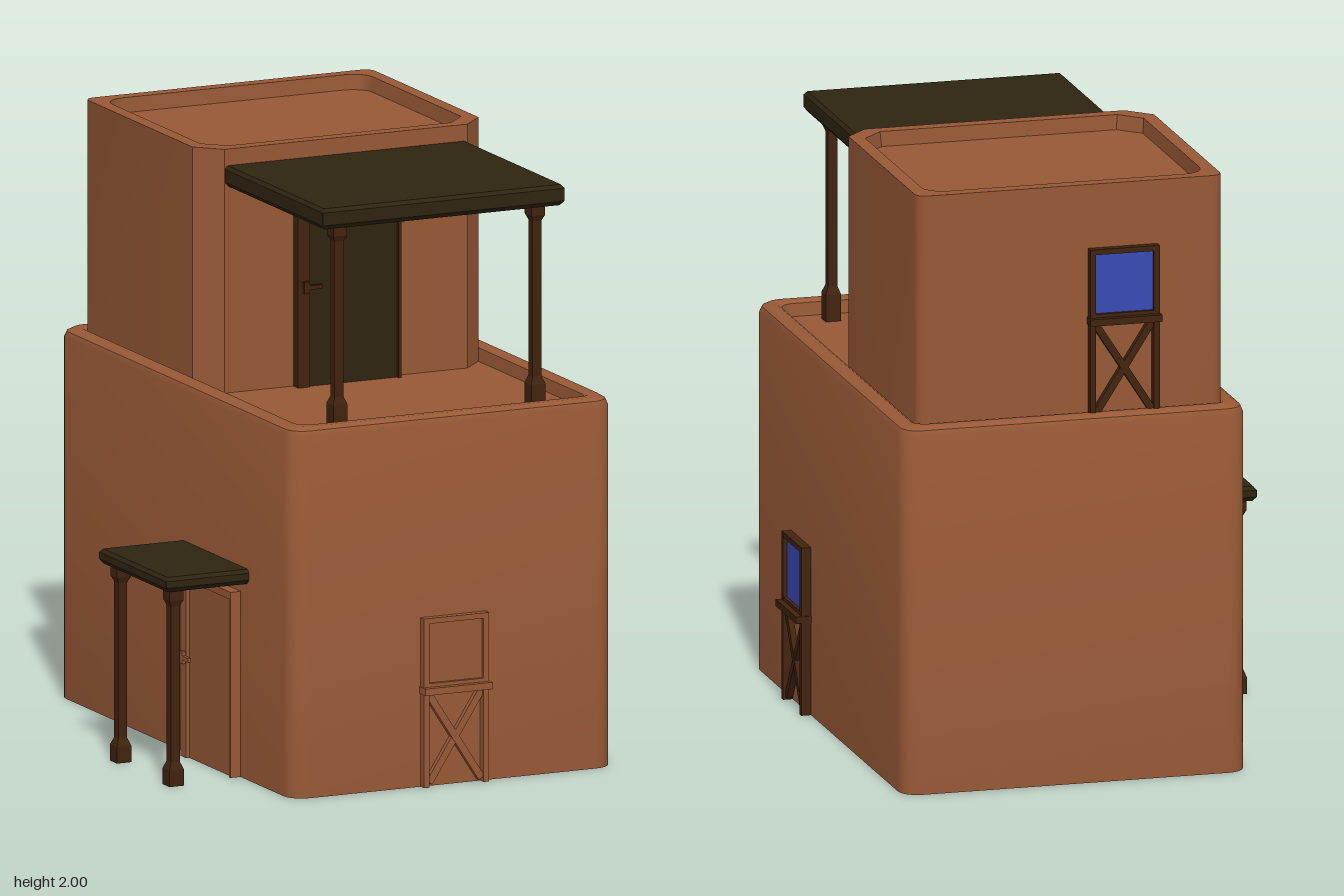
import * as THREE from 'three';
import { toCreasedNormals } from 'three/addons/utils/BufferGeometryUtils.js';

const mat = (name, color) => new THREE.MeshStandardMaterial({ name, color });

// Closed loop of a rectangle with cut or rounded corners, anticlockwise from above
function outline([x0, x1, z0, z1], inset, rBack, rFront, segBack, segFront) {
  const pts = [];
  const corners = [[1, -1], [-1, -1], [-1, 1], [1, 1]];
  corners.forEach(([sx, sz], k) => {
    const r = sz < 0 ? rBack : rFront;
    const seg = sz < 0 ? segBack : segFront;
    const cx = sx > 0 ? x1 - inset - r : x0 + inset + r;
    const cz = sz > 0 ? z1 - inset - r : z0 + inset + r;
    for (let i = 0; i <= seg; i++) {
      const a = (k + i / seg) * Math.PI / 2;
      pts.push([cx + r * Math.cos(a), cz - r * Math.sin(a)]);
    }
  });
  return pts;
}

// Skin stacked outlines, rings = [inset, y, back radius, front radius], and cap both ends
function loft(rect, rings, segBack, segFront, crease = 0.6) {
  const pos = [], idx = [];
  let n = 0;
  for (const [inset, y, rb, rf] of rings) {
    const loop = outline(rect, inset, rb, rf, segBack, segFront);
    n = loop.length;
    loop.forEach(([x, z]) => pos.push(x, y, z));
  }
  const cx = (rect[0] + rect[1]) / 2, cz = (rect[2] + rect[3]) / 2;
  const last = rings.length - 1, bottom = n * rings.length, top = bottom + 1;
  pos.push(cx, rings[0][1], cz, cx, rings[last][1], cz);
  for (let j = 0; j < n; j++) {
    const k = (j + 1) % n;
    for (let r = 0; r < last; r++) {
      const a = r * n, b = a + n;
      idx.push(a + j, a + k, b + k, a + j, b + k, b + j);
    }
    idx.push(bottom, k, j, top, last * n + j, last * n + k);
  }
  const g = new THREE.BufferGeometry();
  g.setAttribute('position', new THREE.Float32BufferAttribute(pos, 3));
  g.setIndex(idx);
  return toCreasedNormals(g, crease);
}

function add(parent, name, geometry, material, x = 0, y = 0, z = 0) {
  const m = new THREE.Mesh(geometry, material);
  m.name = name;
  m.position.set(x, y, z);
  parent.add(m);
  return m;
}

// Box given by its limits
function box(parent, name, material, x0, x1, y0, y1, z0, z1) {
  return add(parent, name, new THREE.BoxGeometry(x1 - x0, y1 - y0, z1 - z0), material,
    (x0 + x1) / 2, (y0 + y1) / 2, (z0 + z1) / 2);
}

// Square post with a thick foot and head
function post(parent, name, material, x, y, z, h, foot) {
  const k = Math.SQRT2;
  const profile = [[0, 0], [0.026, 0], [0.026, foot], [0.016, foot + 0.025],
    [0.016, h - 0.065], [0.025, h - 0.045], [0.025, h], [0, h]]
    .map(([r, py]) => new THREE.Vector2(r * k, py));
  const g = new THREE.LatheGeometry(profile, 4).rotateY(Math.PI / 4);
  add(parent, name, toCreasedNormals(g, 0.2), material, x, y, z);
}

// Slab roof with bevelled edges
function canopy(parent, name, material, rect, y0, y1) {
  const r = 0.001;
  add(parent, name, loft(rect, [[0.012, y0, r, r], [0, y0 + 0.015, r, r],
    [0, y1 - 0.012, r, r], [0.01, y1, r, r]], 1, 1, 0.2), material);
}

// Door facing +z, standing on y = 0 against a wall at z = 0
function door(name, frame, panel) {
  const g = new THREE.Group();
  g.name = name;
  box(g, 'doorPanel', panel, -0.15, 0.178, 0, 0.6, -0.01, 0.025);
  box(g, 'doorJambLeft', frame, -0.187, -0.145, 0, 0.62, -0.01, 0.037);
  box(g, 'doorJambRight', frame, 0.176, 0.187, 0, 0.62, -0.01, 0.037);
  box(g, 'doorLintel', frame, -0.187, 0.187, 0.595, 0.62, -0.01, 0.036);
  box(g, 'doorHandlePlate', frame, -0.17, -0.15, 0.315, 0.355, 0.03, 0.05);
  box(g, 'doorHandle', frame, -0.17, -0.105, 0.328, 0.342, 0.038, 0.05);
  return g;
}

// Window on a cross-braced stand, facing +z
function windowUnit(name, frame, glass) {
  const g = new THREE.Group();
  g.name = name;
  const w = 0.118, bar = 0.02;
  for (const s of [-1, 1]) {
    const a = s * w, b = s * (w - bar);
    box(g, 'windowUpright', frame, Math.min(a, b), Math.max(a, b), 0, 0.565, -0.01, 0.026);
  }
  box(g, 'windowHead', frame, -w, w, 0.547, 0.565, -0.01, 0.025);
  box(g, 'windowLowerRail', frame, -w, w, 0.33, 0.347, -0.01, 0.025);
  box(g, 'windowSill', frame, -w - 0.004, w + 0.004, 0.312, 0.335, -0.01, 0.045);
  box(g, 'windowGlass', glass, -w + bar, w - bar, 0.345, 0.549, 0.005, 0.013);
  const dx = 2 * (w - bar), dy = 0.305;
  for (const s of [-1, 1]) {
    const brace = add(g, 'crossBrace', new THREE.BoxGeometry(0.024, Math.hypot(dx, dy) - 0.015, 0.02),
      frame, 0, 0.16, 0.009 + s * 0.001);
    brace.rotation.z = s * Math.atan2(dx, dy);
  }
  return g;
}

function place(parent, part, x, y, z, turn) {
  part.position.set(x, y, z);
  part.rotation.y = turn;
  parent.add(part);
}

export function createModel() {
  const root = new THREE.Group();
  root.name = 'adobeHouse';
  const clay = mat('clay', 0x985936);
  const wood = mat('darkWood', 0x42230f);
  const plank = mat('blackenedPlank', 0x2f2411);
  const blue = mat('blueGlass', 0x384ab4);

  // Ground storey with a rounded parapet around the sunken terrace
  add(root, 'groundStorey', loft([-0.465, 0.703, -0.905, 0.86], [
    [0, 0, 0.065, 0.065], [0, 1.205, 0.065, 0.065], [0.008, 1.225, 0.06, 0.06],
    [0.025, 1.236, 0.055, 0.055], [0.05, 1.236, 0.05, 0.05], [0.063, 1.228, 0.05, 0.05],
    [0.068, 1.185, 0.05, 0.05]], 6, 6), clay);

  // Upper storey with cut front corners and a sunken roof
  add(root, 'upperStorey', loft([-0.4, 0.637, -0.84, 0.053], [
    [0, 1.17, 0.035, 0.078], [0, 2, 0.035, 0.078],
    [0.046, 2, 0.07, 0.07], [0.05, 1.95, 0.07, 0.07]], 4, 1), clay);

  // Terrace canopy
  canopy(root, 'terraceCanopy', plank, [-0.32, 0.556, 0.045, 0.79], 1.875, 1.945);
  for (const x of [-0.235, 0.482]) post(root, 'terracePost', wood, x, 1.185, 0.72, 0.7, 0.09);

  // Side porch
  canopy(root, 'porchCanopy', plank, [-0.765, -0.455, 0.03, 0.535], 0.655, 0.705);
  for (const z of [0.09, 0.485]) post(root, 'porchPost', wood, -0.715, 0, z, 0.665, 0.055);

  // Doors
  place(root, door('terraceDoor', wood, plank), 0.115, 1.185, 0.053, 0);
  place(root, door('porchDoor', clay, clay), -0.465, 0, 0.285, -Math.PI / 2);

  // Windows
  place(root, windowUnit('frontWindow', clay, clay), 0.118, 0, 0.86, 0);
  place(root, windowUnit('leftWindow', wood, blue), 0.71, 0, 0.307, Math.PI / 2);
  place(root, windowUnit('backWindow', wood, blue), -0.06, 1.22, -0.842, Math.PI);

  return root;
}
